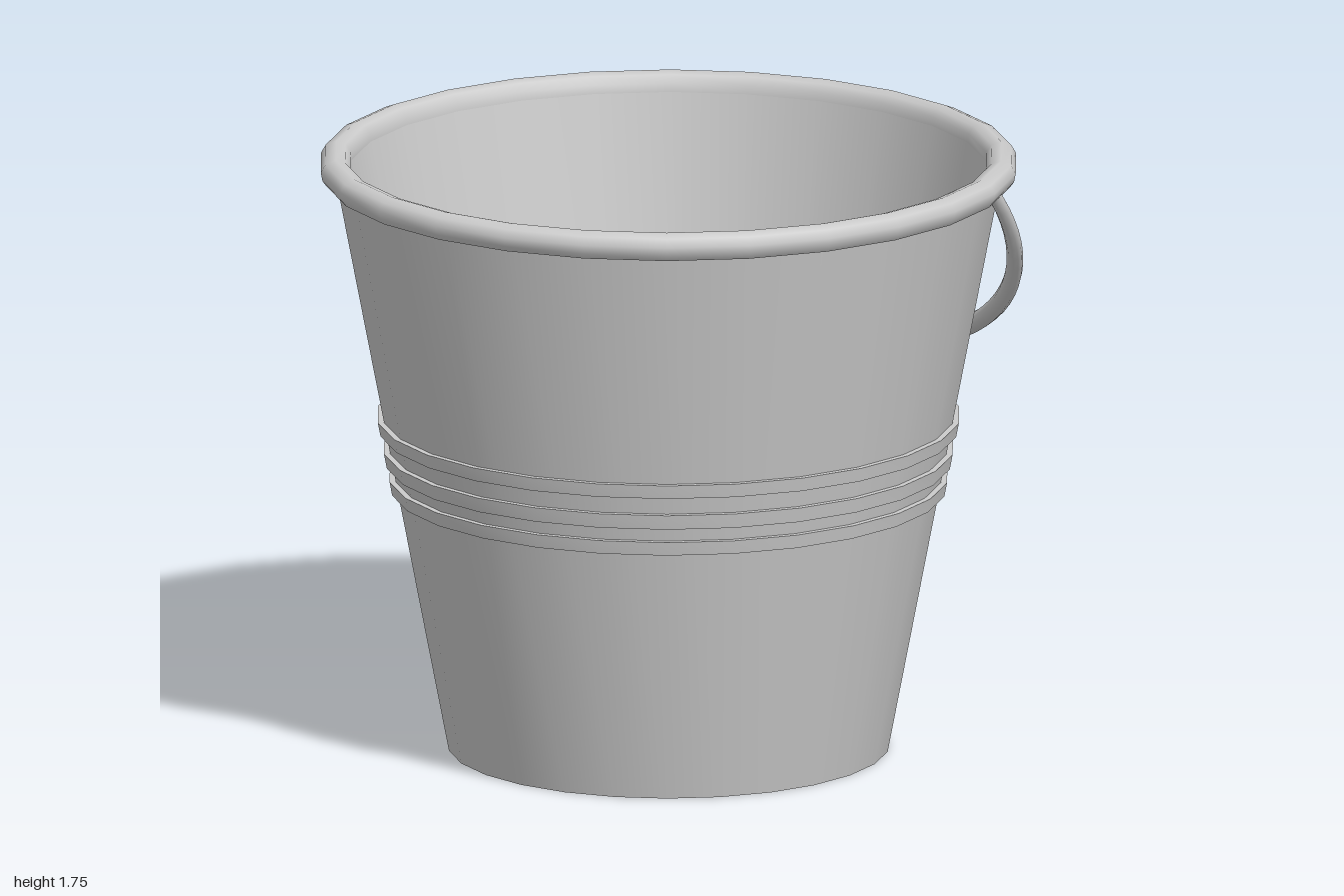
import * as THREE from 'three';
import { toCreasedNormals } from 'three/addons/utils/BufferGeometryUtils.js';

const SIDES = 26;
const material = new THREE.MeshStandardMaterial({ color: 0xcccccc });

// Outer wall radius at a given height
const wallRadius = (y) => 0.63 + 0.192 * y;

// Turned part from [radius, height] pairs, rising on its outer side
function turned(name, profile) {
  const points = profile.map(([r, y]) => new THREE.Vector2(r, y));
  const lathe = new THREE.LatheGeometry(points, SIDES, THREE.MathUtils.degToRad(-1.7));
  const mesh = new THREE.Mesh(toCreasedNormals(lathe, 0.85), material);
  mesh.name = name;
  return mesh;
}

// Bail hanging against the back wall, thicker in the middle
function makeHandle() {
  const path = [];
  for (let i = 0; i <= 24; i++) {
    const t = (i / 24) * Math.PI;
    const s = Math.sin(t);
    const bulge = 0.012 * Math.sin(Math.PI * s);
    path.push(new THREE.Vector3(0.87 * Math.cos(t), 1.71 - 0.655 * s + bulge, -0.385 - 0.475 * s - bulge));
  }
  const curve = new THREE.CatmullRomCurve3(path);
  const rings = 48, around = 10;
  const geometry = new THREE.TubeGeometry(curve, rings, 0.03, around);
  const position = geometry.attributes.position;
  const v = new THREE.Vector3();
  for (let i = 0; i <= rings; i++) {
    const centre = curve.getPointAt(i / rings);
    const k = 0.65 + 0.35 * Math.sin((i / rings) * Math.PI);
    for (let j = 0; j <= around; j++) {
      const n = i * (around + 1) + j;
      v.fromBufferAttribute(position, n).sub(centre).multiplyScalar(k).add(centre);
      position.setXYZ(n, v.x, v.y, v.z);
    }
  }
  const mesh = new THREE.Mesh(geometry, material);
  mesh.name = 'handle';
  return mesh;
}

export function createModel() {
  const bucket = new THREE.Group();
  bucket.name = 'bucket';

  // Outer wall with base, and inner wall with floor
  bucket.add(turned('outerWall', [[0, 0], [0.63, 0], [wallRadius(1.69), 1.69]]));
  bucket.add(turned('innerWall', [[0.913, 1.7], [0.597, 0.03], [0, 0.03]]));

  // Rolled rim
  bucket.add(turned('rim', [
    [0.94, 1.668], [0.98, 1.668], [0.993, 1.685], [0.998, 1.71], [0.985, 1.733],
    [0.955, 1.745], [0.928, 1.737], [0.913, 1.715], [0.911, 1.69],
  ]));

  // Raised bands around the middle
  for (const [low, high] of [[0.755, 0.795], [0.835, 0.878], [0.93, 0.97]]) {
    const out = 0.018;
    bucket.add(turned('band', [
      [wallRadius(low) - 0.01, low], [wallRadius(low) + out, low],
      [wallRadius(high) + out, high], [wallRadius(high) - 0.01, high],
    ]));
  }

  bucket.add(makeHandle());
  return bucket;
}
